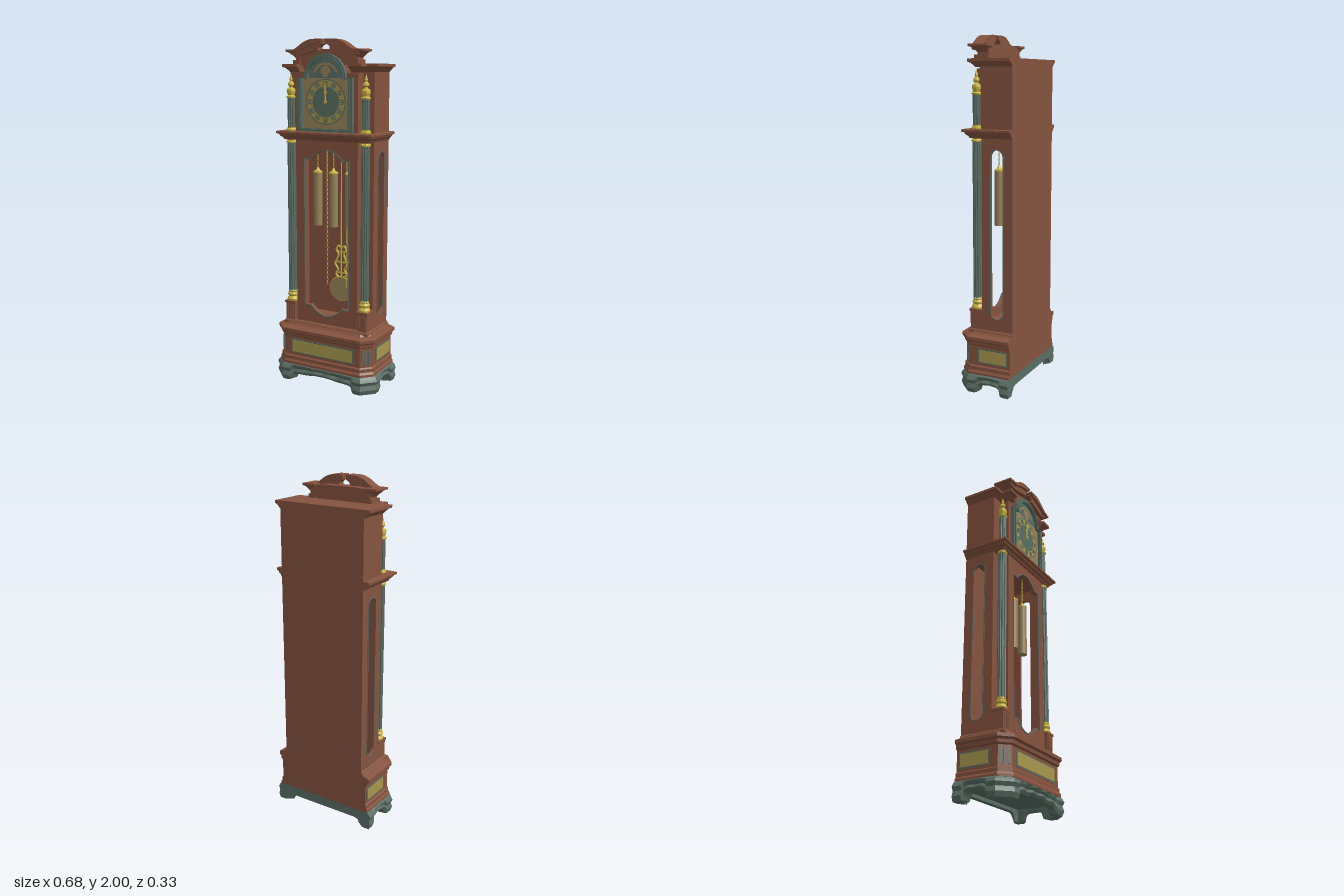
import * as THREE from 'three';
import { mergeGeometries, toCreasedNormals } from 'three/addons/utils/BufferGeometryUtils.js';

const BACK = -0.163;

function material(name, color, side = THREE.FrontSide) {
  const m = new THREE.MeshStandardMaterial({ color, side });
  m.name = name;
  return m;
}

// Closed rings of [x, y, z], anticlockwise from above, joined bottom to top.
function loft(rings, caps = true) {
  const p = [];
  const tri = (a, b, c) => p.push(...a, ...b, ...c);
  const n = rings[0].length;
  for (let r = 0; r < rings.length - 1; r++) for (let i = 0; i < n; i++) {
    const j = (i + 1) % n, lo = rings[r], hi = rings[r + 1];
    tri(lo[i], lo[j], hi[j]);
    tri(lo[i], hi[j], hi[i]);
  }
  if (caps) for (let i = 1; i < n - 1; i++) {
    const lo = rings[0], hi = rings[rings.length - 1];
    tri(hi[0], hi[i], hi[i + 1]);
    tri(lo[0], lo[i + 1], lo[i]);
  }
  const g = new THREE.BufferGeometry();
  g.setAttribute('position', new THREE.Float32BufferAttribute(p, 3));
  g.computeVertexNormals();
  return g;
}

// Plan outlines: plain, or with the front corners cut off; the back stays flush.
const rectPlan = (w, d, back = BACK) => (o, y) =>
  [[-w - o, y, back], [-w - o, y, d + o], [w + o, y, d + o], [w + o, y, back]];
const cutPlan = (w, d, c) => (o, y, back = BACK) => {
  const k = c + o * 0.59;
  return [[-w - o, y, back], [-w - o, y, d + o - k], [-w - o + k, y, d + o],
    [w + o - k, y, d + o], [w + o, y, d + o - k], [w + o, y, back]];
};
const moulding = (plan, profile) => loft(profile.map(([o, y]) => plan(o, y)));

const poly = (pts, C = THREE.Shape) => new C(pts.map(([x, y]) => new THREE.Vector2(x, y)));
const extrude = (shape, depth) =>
  new THREE.ExtrudeGeometry(shape, { depth, bevelEnabled: false, curveSegments: 16 });
const lathe = (pts, n = 20) =>
  toCreasedNormals(new THREE.LatheGeometry(pts.map(([r, y]) => new THREE.Vector2(r, y)), n), 0.7);

// Outline of the trunk window, grown outwards by g.
function windowPath(C, g) {
  const W = 0.142 + g, w = 0.1 + g, lo = 0.47 - g, hi = 1.33 + g;
  const s = new C();
  s.moveTo(-W, lo).lineTo(-w, lo).quadraticCurveTo(0, lo - 0.115, w, lo).lineTo(W, lo);
  s.lineTo(W, hi).lineTo(w, hi).quadraticCurveTo(0, hi + 0.115, -w, hi).lineTo(-W, hi).lineTo(-W, lo);
  return s;
}

// Tall slot with round ends, in (z, y).
function slotPath(C, g) {
  const r = 0.036 + g, s = new C();
  s.moveTo(-0.068 + r, 0.468).lineTo(-0.068 + r, 1.342);
  s.absarc(-0.068, 1.342, r, 0, Math.PI, false);
  s.lineTo(-0.068 - r, 0.468);
  s.absarc(-0.068, 0.468, r, Math.PI, Math.PI * 2, false);
  return s;
}

// Outline of the dial: a square with a round arch on top.
function dialPath(C, w, r, lo, hi) {
  const s = new C();
  s.moveTo(-w, lo).lineTo(w, lo).lineTo(w, hi).lineTo(r, hi);
  s.absarc(0, hi, r, 0, Math.PI, false);
  s.lineTo(-w, hi).lineTo(-w, lo);
  return s;
}

function flutedShaft(r, h) {
  const pts = [];
  for (let i = 0; i < 40; i++) {
    const a = i / 40 * Math.PI * 2, q = i % 4 < 2 ? r : r * 0.84;
    pts.push([Math.cos(a) * q, Math.sin(a) * q]);
  }
  return extrude(poly(pts), h).rotateX(-Math.PI / 2);
}

export function createModel() {
  const clock = new THREE.Group();
  clock.name = 'longcaseClock';
  const wood = material('reddish wood', 0x85533f);
  const green = material('grey green', 0x5a6e65, THREE.DoubleSide);
  const gold = material('polished gold', 0xc9b53f);
  const brass = material('dull brass', 0xa7974c);
  const tan = material('tan metal', 0x988258);

  const add = (name, geo, mat, x = 0, y = 0, z = 0) => {
    const m = new THREE.Mesh(geo, mat);
    m.name = name;
    m.position.set(x, y, z);
    clock.add(m);
    return m;
  };
  const box = (name, mat, x0, x1, y0, y1, z0, z1) =>
    add(name, new THREE.BoxGeometry(x1 - x0, y1 - y0, z1 - z0), mat, (x0 + x1) / 2, (y0 + y1) / 2, (z0 + z1) / 2);

  // Carved foot: legs at the corners, scalloped apron between them
  const footPlan = cutPlan(0.312, 0.142, 0.058);
  const rows = [[-0.045, 0], [-0.035, 1], [0.004, 1], [0.014, 0.75], [0.006, 0.5], [0.016, 0.3], [0.016, 0.12], [0.002, 0]];
  const footRings = rows.map(([o, t], r) => {
    const ring = [], N = [20, 6, 40, 6, 20, 30];
    for (let e = 0; e < 6; e++) for (let k = 0; k < N[e]; k++) {
      const u = k / N[e], a0 = footPlan(0, 0)[e], b0 = footPlan(0, 0)[(e + 1) % 6];
      const len = Math.hypot(a0[0] - b0[0], a0[2] - b0[2]);
      const d = Math.min(u, 1 - u) * len, cut = e === 1 || e === 3;
      const leg = cut ? 1 : 1 - THREE.MathUtils.smoothstep(d, 0.045, 0.068);
      const wave = 0.5 + 0.5 * Math.cos(u * Math.PI * 2 * (e === 2 ? 5 : 3));
      const bottom = (1 - leg) * (e === 5 ? 0.05 : 0.028 + 0.022 * Math.min(1, d / (len * 0.5)) + 0.006 * wave);
      const off = r > 1 ? o + (t > 0.2 ? 0.01 * leg - 0.008 * (1 - wave) * (1 - leg) : 0) : o;
      const P = footPlan(off, 0, r < 2 ? BACK + 0.03 : BACK), a = P[e], b = P[(e + 1) % 6];
      ring.push([a[0] + (b[0] - a[0]) * u, 0.108 + (bottom - 0.108) * t, a[2] + (b[2] - a[2]) * u]);
    }
    return ring;
  });
  add('foot', toCreasedNormals(loft(footRings, false), 0.6), green);
  add('footFloor', moulding(footPlan, [[-0.01, 0.07], [-0.01, 0.108]]), green);

  // Base chest and its mouldings
  const basePlan = cutPlan(0.3, 0.138, 0.052);
  add('base', moulding(basePlan, [[0.016, 0.104], [0.016, 0.118], [0.008, 0.13], [0.008, 0.15], [0, 0.157], [0, 0.272],
    [0.01, 0.28], [0.012, 0.298], [0.024, 0.308], [0.024, 0.326], [0.01, 0.332], [-0.012, 0.338], [-0.02, 0.348]]), wood);
  box('frontPanelFrame', green, -0.208, 0.208, 0.172, 0.258, 0.134, 0.141);
  box('frontPanel', brass, -0.2, 0.2, 0.18, 0.25, 0.136, 0.144);
  for (const s of [-1, 1]) {
    const x = s * 0.3;
    box('sidePanelFrame', green, x - 0.003, x + 0.003, 0.172, 0.258, -0.148, 0.038);
    box('sidePanel', brass, x - 0.005, x + 0.005, 0.18, 0.25, -0.14, 0.03);
    for (const k of [-1, 0, 1]) {
      const bar = add('cornerFlute', new THREE.BoxGeometry(0.012, 0.085, 0.008), green, s * (0.274 + k * 0.014), 0.215, 0.112 - k * 0.014);
      bar.rotation.y = s * Math.PI / 4;
    }
  }

  // Trunk: back, windowed front, slotted sides, corners stepped back for the columns
  box('trunkBack', wood, -0.27, 0.27, 0.34, 1.46, BACK, BACK + 0.014);
  const front = poly([[-0.2, 0.34], [0.2, 0.34], [0.2, 1.46], [-0.2, 1.46]]);
  front.holes.push(windowPath(THREE.Path, 0));
  add('trunkFront', extrude(front, 0.02), wood, 0, 0, 0.065);
  const trim = windowPath(THREE.Shape, 0.006);
  trim.holes.push(windowPath(THREE.Path, 0));
  add('windowTrim', extrude(trim, 0.004), green, 0, 0, 0.085);
  const side = poly([[BACK, 0.34], [0.025, 0.34], [0.025, 1.46], [BACK, 1.46]]);
  side.holes.push(slotPath(THREE.Path, 0));
  const sideGeo = extrude(side, 0.014).rotateY(-Math.PI / 2);
  const rim = slotPath(THREE.Shape, 0.005);
  rim.holes.push(slotPath(THREE.Path, 0));
  const rimGeo = extrude(rim, 0.004).rotateY(-Math.PI / 2);
  for (const s of [-1, 1]) {
    add('trunkSide', sideGeo, wood, s > 0 ? 0.27 : -0.256);
    add('slotTrim', rimGeo, green, s > 0 ? 0.273 : -0.269);
    box('columnRecess', wood, s * 0.228 - 0.035, s * 0.228 + 0.035, 0.34, 1.46, 0.011, 0.0249);
    box('bayReturn', wood, s * 0.192 - 0.0079, s * 0.192 + 0.0079, 0.34, 1.46, 0.015, 0.07);
  }
  add('trunkSkirting', moulding(rectPlan(0.275, 0.105), [[0.004, 0.34], [0.004, 0.352], [-0.004, 0.362]]), wood);
  add('waistCornice', moulding(rectPlan(0.272, 0.095),
    [[0, 1.44], [0.006, 1.452], [0.018, 1.462], [0.022, 1.472], [0.034, 1.476], [0.034, 1.487], [0.03, 1.49]]), wood);

  // Columns, mirrored: plinth, gold base, fluted shaft, capital, finial
  const ringBase = lathe([[0, 0], [0.032, 0], [0.034, 0.01], [0.029, 0.018], [0.025, 0.026], [0.031, 0.034],
    [0.031, 0.042], [0.024, 0.05], [0.026, 0.058], [0.022, 0.066], [0, 0.066]]);
  const smallBase = lathe([[0, 0], [0.029, 0], [0.03, 0.008], [0.024, 0.014], [0.025, 0.02], [0, 0.022]]);
  const finial = lathe([[0, 0], [0.026, 0], [0.028, 0.008], [0.019, 0.016], [0.022, 0.026], [0.026, 0.04], [0.023, 0.052],
    [0.011, 0.06], [0.011, 0.066], [0.018, 0.074], [0.016, 0.086], [0.007, 0.096], [0.01, 0.104], [0.004, 0.122], [0, 0.14]]);
  const longShaft = flutedShaft(0.0245, 0.91), shortShaft = flutedShaft(0.0215, 0.185);
  for (const s of [-1, 1]) {
    const x = s * 0.24, z = 0.068;
    box('columnPlinth', wood, x - 0.031, x + 0.031, 0.355, 0.462, z - 0.045, z + 0.031);
    for (const k of [-1, 0, 1]) box('plinthRib', wood, x + k * 0.018 - 0.005, x + k * 0.018 + 0.005, 0.375, 0.45, z + 0.03, z + 0.035);
    box('plinthCap', wood, x - 0.036, x + 0.036, 0.462, 0.476, z - 0.045, z + 0.036);
    add('columnBase', ringBase, gold, x, 0.476, z);
    add('trunkColumn', longShaft, green, x, 0.525, z);
    add('columnCapital', smallBase, gold, x, 1.421, z);
    add('hoodColumnBase', smallBase, gold, x, 1.49, z);
    add('hoodColumn', shortShaft, green, x, 1.505, z);
    add('finial', finial, gold, x, 1.675, z);
  }

  // Hood body and stepped cornice, broken in the middle for the dial arch
  box('hoodBody', wood, -0.27, 0.27, 1.485, 1.84, BACK, 0.025);
  const face = dialPath(THREE.Shape, 0.2, 0.125, 1.485, 1.815);
  add('hoodBay', extrude(face, 0.07), wood, 0, 0, 0.015);
  const cornice = [[0, 1.822], [0.008, 1.832], [0.014, 1.838], [0.022, 1.846], [0.034, 1.85], [0.034, 1.866]];
  add('hoodCornice', moulding(rectPlan(0.271, 0.027), cornice), wood);
  const endPlan = (o, y) => [[-0.035, y, 0.02], [-0.035, y, 0.092 + o], [0.005 + o, y, 0.092 + o], [0.005 + o, y, 0.02]];
  const endRight = moulding(endPlan, cornice);
  const endLeft = moulding((o, y) => endPlan(o, y).map(([x, h, z]) => [-x, h, z]).reverse(), cornice);
  add('bayCorniceEnd', endRight, wood, 0.201);
  add('bayCorniceEnd', endLeft, wood, -0.201);

  // Pediment with two curved halves and a gap between them
  const block = poly([[-0.195, 1.86], [0.195, 1.86], [0.195, 1.935], [0.1, 1.945], [-0.1, 1.945], [-0.195, 1.935]]);
  add('pedimentBlock', extrude(block, 0.07), wood, 0, 0, 0.015);
  for (const s of [-1, 1]) {
    box('pedimentStep', wood, s * 0.183 - 0.022, s * 0.183 + 0.022, 1.866, 1.888, 0.012, 0.1);
    add('pedimentCornice', moulding(
      (o, y) => [[s * 0.2 - 0.018 - o, y, 0.015 - o / 2], [s * 0.2 - 0.018 - o, y, 0.1 + o], [s * 0.2 + 0.018 + o, y, 0.1 + o], [s * 0.2 + 0.018 + o, y, 0.015 - o / 2]],
      [[-0.018, 1.9], [-0.006, 1.915], [0.004, 1.925], [0.012, 1.93], [0.022, 1.933], [0.022, 1.945]]), wood);
    const neck = (t, lift) => {
      const q = new THREE.Shape();
      q.moveTo(s * 0.215, 1.944 - lift).lineTo(s * 0.19, 1.944 - lift);
      q.bezierCurveTo(s * 0.15, 1.955 - lift, s * 0.13, 2 - lift, s * 0.05, 2 - lift);
      q.lineTo(s * 0.012, 2 - lift).lineTo(s * 0.014, 1.984 - lift);
      q.quadraticCurveTo(s * 0.045, 1.975 - lift, s * 0.035, 1.985 - lift - t);
      q.bezierCurveTo(s * 0.1, 1.985 - lift - t, s * 0.14, 1.945 - t - lift, s * 0.215, 1.93 - lift);
      return q;
    };
    add('swanNeckTop', extrude(neck(0.012, 0), 0.067), wood, 0, 0, 0.06);
    add('swanNeckUnder', extrude(neck(0.035, 0.012), 0.05), wood, 0, 0, 0.06);
  }

  // Dial: frame, plate, hour ring with plain bar marks, hands
  const frame = dialPath(THREE.Shape, 0.174, 0.132, 1.492, 1.79);
  frame.holes.push(dialPath(THREE.Path, 0.148, 0.112, 1.51, 1.782));
  add('dialFrame', extrude(frame, 0.022), green, 0, 0, 0.085);
  const bead = dialPath(THREE.Shape, 0.162, 0.123, 1.5, 1.787);
  bead.holes.push(dialPath(THREE.Path, 0.153, 0.116, 1.506, 1.784));
  add('dialFrameBead', extrude(bead, 0.006), green, 0, 0, 0.107);
  add('dialPlate', extrude(dialPath(THREE.Shape, 0.15, 0.115, 1.505, 1.782), 0.004), tan, 0, 0, 0.086);
  const cy = 1.658;
  add('hourRingEdge', new THREE.RingGeometry(0.12, 0.127, 48), green, 0, cy, 0.0915);
  add('hourRing', new THREE.RingGeometry(0.085, 0.12, 48), brass, 0, cy, 0.0915);
  add('dialCentre', new THREE.CircleGeometry(0.085, 48), green, 0, cy, 0.0915);
  for (let h = 0; h < 12; h++) {
    const a = h * Math.PI / 6;
    for (const k of [-1, 0, 1]) {
      const bar = add('hourMark', new THREE.BoxGeometry(0.006, 0.027, 0.002), green,
        Math.sin(a + k * 0.1) * 0.1025, cy + Math.cos(a + k * 0.1) * 0.1025, 0.092);
      bar.rotation.z = -a + k * 0.15;
    }
  }
  const hand = (l, w) => extrude(poly([[-0.003, 0], [0.003, 0], [0.003, l * 0.55], [w, l * 0.7], [0, l], [-w, l * 0.7], [-0.003, l * 0.55]]), 0.002);
  add('minuteHand', hand(0.11, 0.008), gold, 0, cy, 0.097);
  add('hourHand', hand(0.07, 0.012), gold, 0, cy, 0.094);
  add('handHub', new THREE.CylinderGeometry(0.009, 0.009, 0.008, 16).rotateX(Math.PI / 2), gold, 0, cy, 0.097);

  // Moon display in the arch
  add('moonSky', new THREE.CircleGeometry(0.108, 32, 0, Math.PI), green, 0, 1.79, 0.0915);
  add('moonArc', new THREE.RingGeometry(0.07, 0.084, 32, 1, 0.15, Math.PI - 0.3), tan, 0, 1.79, 0.0925);
  add('moonDisc', new THREE.CircleGeometry(0.032, 24), tan, 0, 1.825, 0.0925);
  for (const s of [-1, 1]) add('moonHump', new THREE.CircleGeometry(0.036, 24, 0, Math.PI), green, s * 0.05, 1.79, 0.0935);

  // Weights on chains
  const links = (y0, y1) => {
    const list = [];
    for (let y = y0, i = 0; y < y1; y += 0.014, i++)
      list.push(new THREE.TorusGeometry(0.006, 0.0018, 4, 8).scale(0.75, 1.4, 1).rotateY(i % 2 ? Math.PI / 2 : 0).translate(0, y, 0));
    return mergeGeometries(list);
  };
  const shortChain = links(1.285, 1.45), longChain = links(0.57, 1.45);
  const weightCap = lathe([[0, -0.004], [0.027, -0.004], [0.027, 0.004], [0.012, 0.012], [0.006, 0.026], [0, 0.03]]);
  for (const x of [-0.104, 0, 0.104]) {
    add('weight', new THREE.CylinderGeometry(0.026, 0.026, 0.315, 24), tan, x, 1.0925, 0);
    add('weightCap', weightCap, gold, x, 1.25, 0);
    add('weightChain', shortChain, gold, x, 0, 0);
  }
  for (const x of [-0.065, 0.065]) add('pullChain', longChain, gold, x, 0, -0.041);

  // Pendulum: rod, curled lyre, disc
  const pz = -0.094;
  add('pendulumRod', new THREE.CylinderGeometry(0.004, 0.004, 0.9, 8), gold, 0, 1.0, pz);
  for (const s of [-1, 1]) {
    const pts = [[0.012, 0.6], [0.035, 0.625], [0.022, 0.655], [0.042, 0.69], [0.028, 0.72], [0.018, 0.75], [0.032, 0.775], [0.02, 0.8], [0.004, 0.79]];
    const curve = new THREE.CatmullRomCurve3(pts.map(([x, y]) => new THREE.Vector3(s * x, y, pz)));
    add('lyreCurl', new THREE.TubeGeometry(curve, 40, 0.006, 6), gold);
  }
  for (const y of [0.635, 0.7, 0.765]) box('lyreBar', gold, -0.034, 0.034, y - 0.005, y + 0.005, pz - 0.003, pz + 0.003);
  add('pendulumDisc', new THREE.CylinderGeometry(0.073, 0.073, 0.01, 40).rotateX(Math.PI / 2), tan, 0, 0.535, pz);
  add('pendulumRim', new THREE.TorusGeometry(0.073, 0.005, 6, 40), gold, 0, 0.535, pz);
  return clock;
}
